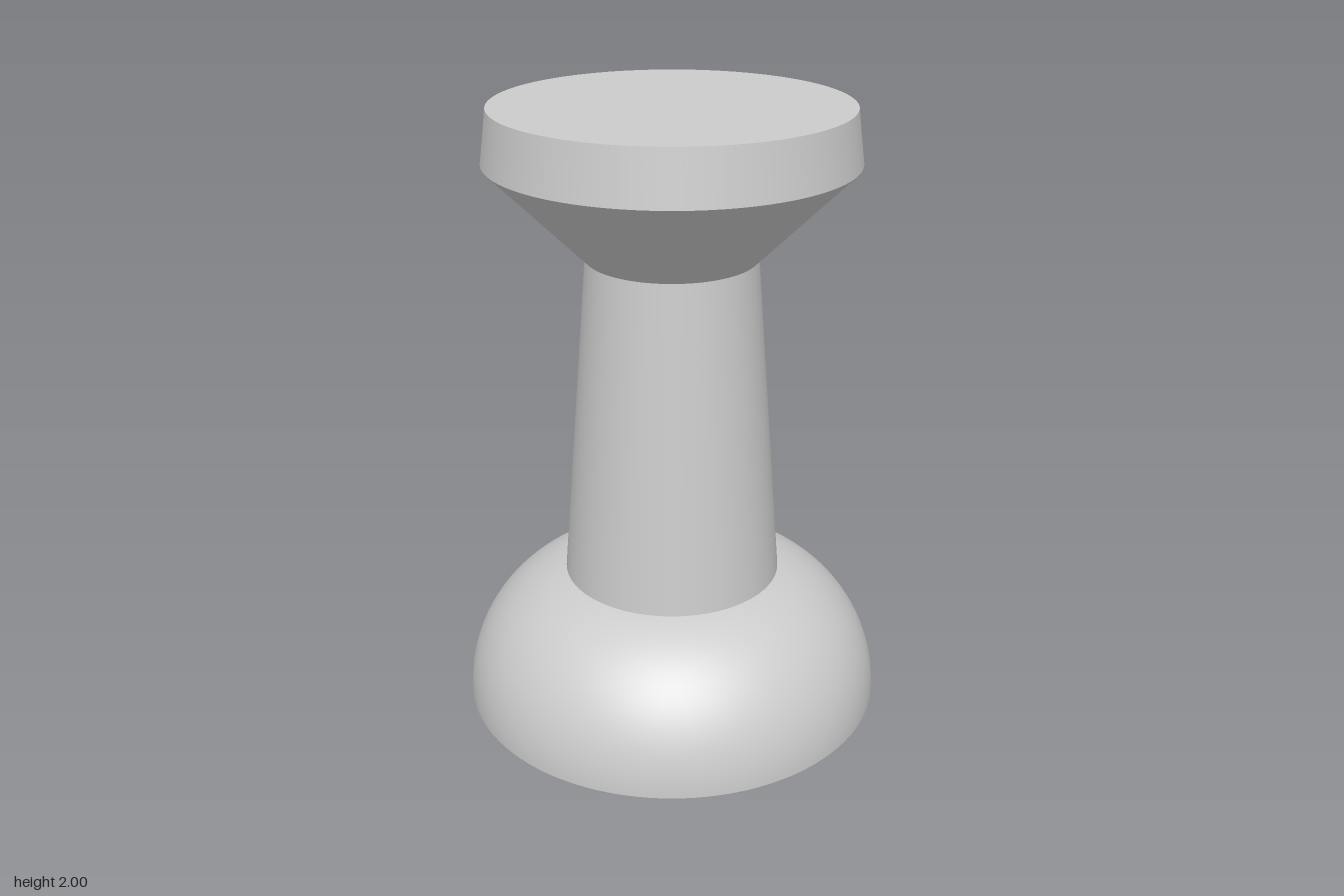
import * as THREE from 'three';

const material = new THREE.MeshStandardMaterial({ color: 0xcccccc });
const SEGMENTS = 128;

// Smooth turned surface through [radius, y] points, listed so the outside faces out
function turned(name, points) {
  const profile = points.map(([r, y]) => new THREE.Vector2(r, y));
  const mesh = new THREE.Mesh(new THREE.LatheGeometry(profile, SEGMENTS), material);
  mesh.name = name;
  return mesh;
}

export function createModel() {
  const group = new THREE.Group();
  group.name = 'turnedPin';

  const baseR = 0.697, shaftR = 0.358, shaftY = 0.445;
  const neckR = 0.272, neckY = 1.527, rimR = 0.577, rimY = 1.833, topR = 0.555;
  const boreR = 0.265, boreDepth = 0.8;

  // Rounded base: circular arc rising from a vertical edge to the shaft
  const arcR = 0.461, arcX = baseR - arcR;
  const endAngle = Math.asin(shaftY / arcR);
  const dome = [];
  for (let i = 0; i <= 32; i++) {
    const a = endAngle * i / 32;
    dome.push([arcX + arcR * Math.cos(a), arcR * Math.sin(a)]);
  }
  group.add(turned('baseDome', dome));

  // Underside ring and the blind bore inside it
  group.add(turned('baseUnderside', [[boreR, 0], [baseR, 0]]));
  group.add(turned('boreWall', [[boreR, boreDepth], [boreR, 0]]));
  group.add(turned('boreEnd', [[0, boreDepth], [boreR, boreDepth]]));

  // Tapered shaft
  group.add(turned('shaft', [[shaftR, shaftY], [neckR, neckY]]));

  // Flared head with a slightly tapered rim and flat top
  group.add(turned('headFlare', [[neckR, neckY], [rimR, rimY]]));
  group.add(turned('headRim', [[rimR, rimY], [topR, 2]]));
  group.add(turned('headTop', [[topR, 2], [0, 2]]));

  return group;
}
